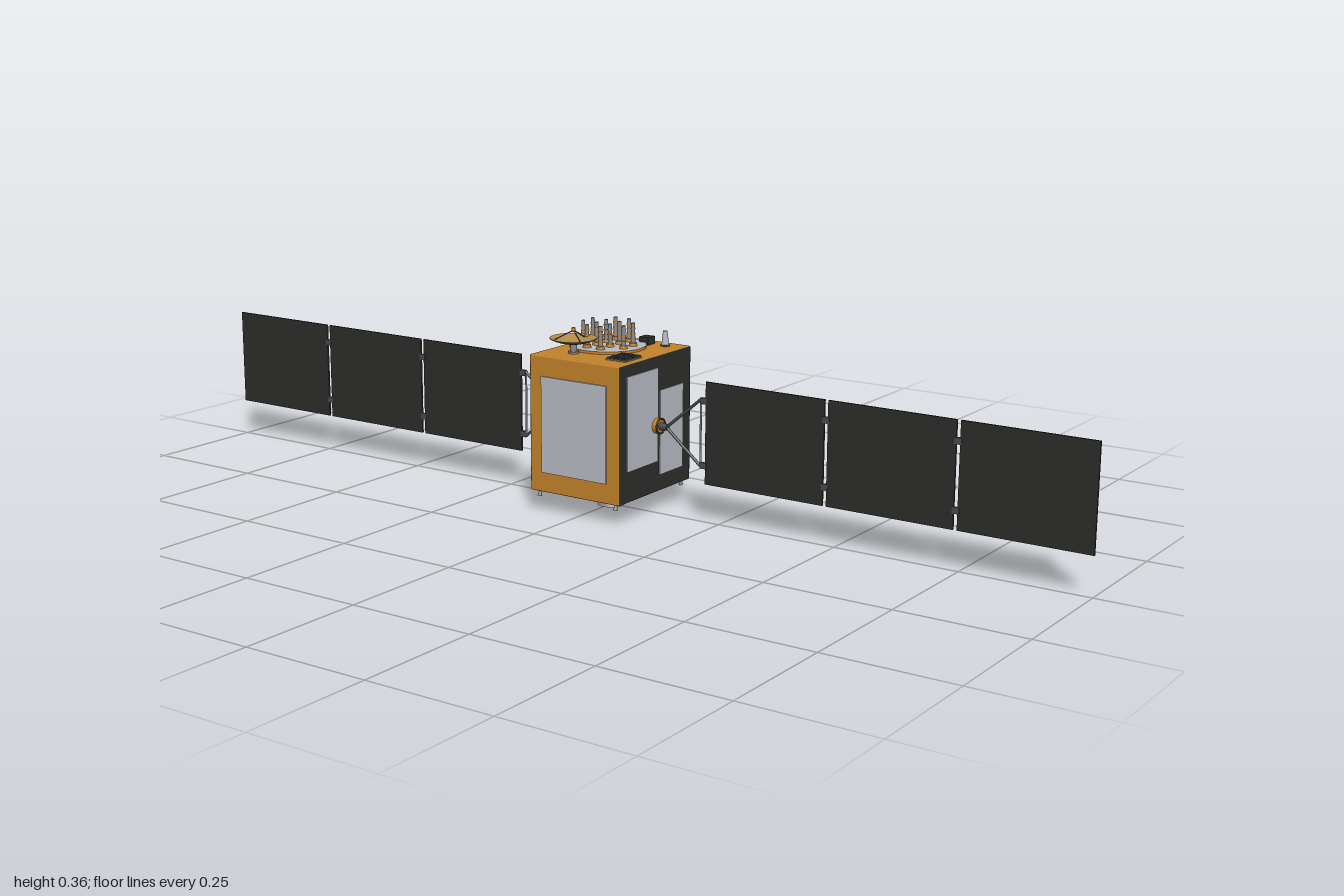
import * as THREE from 'three';
import { RoundedBoxGeometry } from 'three/addons/geometries/RoundedBoxGeometry.js';

const mat = (name, color, side = THREE.FrontSide) => {
  const m = new THREE.MeshStandardMaterial({ color, side });
  m.name = name;
  return m;
};

export function createModel() {
  const black = mat('black', 0x2b2b2a);
  const gold = mat('gold foil', 0xc0812a);
  const light = mat('light radiator', 0xb4b7c0);
  const metal = mat('metal', 0x85858b, THREE.DoubleSide);
  const dark = mat('dark metal', 0x48484c, THREE.DoubleSide);
  const dishGold = mat('dish gold', 0xb08a45, THREE.DoubleSide);

  const model = new THREE.Group();
  model.name = 'satellite';

  const add = (name, geo, material, x = 0, y = 0, z = 0, parent = model) => {
    const m = new THREE.Mesh(geo, material);
    m.name = name;
    m.position.set(x, y, z);
    parent.add(m);
    return m;
  };
  const box = (name, material, w, h, d, x, y, z, parent) =>
    add(name, new THREE.BoxGeometry(w, h, d), material, x, y, z, parent);
  const cyl = (name, material, rTop, rBottom, h, x, y, z, parent, open = false) =>
    add(name, new THREE.CylinderGeometry(rTop, rBottom, h, 24, 1, open), material, x, y, z, parent);
  // Straight rod between two points
  const rod = (name, material, a, b, r, parent) => {
    const p = new THREE.Vector3(...a), q = new THREE.Vector3(...b);
    const m = add(name, new THREE.CylinderGeometry(r, r, p.distanceTo(q), 8), material, 0, 0, 0, parent);
    m.position.copy(p).add(q).multiplyScalar(0.5);
    m.quaternion.setFromUnitVectors(new THREE.Vector3(0, 1, 0), q.sub(p).normalize());
    return m;
  };

  // Main body: gold sides, top and bottom, black front and back
  add('body', new RoundedBoxGeometry(0.245, 0.27, 0.21, 1, 0.003),
    [gold, gold, gold, gold, black, black], 0, 0.175, 0);

  for (const s of [-1, 1]) {
    // Radiator plates
    box('sideRadiator', light, 0.004, 0.19, 0.152, s * 0.1235, 0.175, 0);
    box('tallRadiator', light, 0.104, 0.185, 0.003, -0.046, 0.194, s * 0.1055);
    box('shortRadiator', light, 0.08, 0.168, 0.003, 0.053, 0.157, s * 0.1055);

    // Corner thrusters
    for (const t of [-1, 1]) {
      const thruster = cyl('thruster', metal, 0.002, 0.0045, 0.012, s * 0.112, 0.034, t * 0.09);
      thruster.rotation.z = s * 0.25;
    }

    // Solar wing, built along +z and turned for the other side
    const wing = new THREE.Group();
    wing.name = 'solarWing';
    wing.rotation.y = s > 0 ? 0 : Math.PI;
    model.add(wing);
    const y0 = 0.174;
    cyl('driveHub', gold, 0.015, 0.015, 0.012, 0, y0, 0.111, wing).rotation.x = Math.PI / 2;
    add('hubRing', new THREE.TorusGeometry(0.0145, 0.002, 8, 28), black, 0, y0, 0.117, wing);
    cyl('driveShaft', dark, 0.006, 0.008, 0.018, 0, y0, 0.124, wing).rotation.x = Math.PI / 2;
    for (const t of [-1, 1]) {
      rod('yokeArm', dark, [0, y0, 0.13], [0, y0 + t * 0.066, 0.209], 0.003, wing);
      box('yokeHinge', dark, 0.006, 0.012, 0.014, 0, y0 + t * 0.063, 0.215, wing);
    }
    rod('yokeBar', metal, [0, y0 - 0.066, 0.208], [0, y0 + 0.066, 0.208], 0.002, wing);
    for (let i = 0; i < 3; i++) {
      const z = 0.347 + i * 0.2625;
      box('solarPanel', black, 0.004, 0.2, 0.255, 0, 0.175, z, wing);
      if (i < 2) for (const t of [-1, 1])
        box('panelHinge', dark, 0.006, 0.012, 0.014, 0, y0 + t * 0.063, z + 0.131, wing);
    }
  }

  // Antenna farm: round plate with a 4 x 4 grid without corners
  add('antennaPlate', new THREE.CylinderGeometry(0.075, 0.075, 0.005, 48),
    [gold, light, gold], 0.02, 0.3125, -0.021);
  for (let i = 0; i < 4; i++) for (let j = 0; j < 4; j++) {
    if ((i === 0 || i === 3) && (j === 0 || j === 3)) continue;
    const antenna = new THREE.Group();
    antenna.name = 'helixAntenna';
    antenna.position.set(0.02 + (i - 1.5) * 0.032, 0.315, -0.021 + (j - 1.5) * 0.032);
    model.add(antenna);
    cyl('antennaBase', gold, 0.0075, 0.0085, 0.006, 0, 0.003, 0, antenna);
    cyl('antennaRod', metal, 0.0036, 0.0046, 0.04, 0, 0.025, 0, antenna);
    for (let k = 0; k < 3; k++)
      cyl('antennaBand', gold, 0.0049, 0.0049, 0.002, 0, 0.014 + k * 0.01, 0, antenna);
  }

  // Dish with tripod feed
  const dish = new THREE.Group();
  dish.name = 'dishAntenna';
  dish.position.set(-0.068, 0.31, -0.04);
  model.add(dish);
  cyl('dishFoot', metal, 0.011, 0.011, 0.004, 0, 0.002, 0, dish);
  cyl('dishPost', metal, 0.007, 0.007, 0.016, 0, 0.01, 0, dish);
  const bowl = lift => Array.from({ length: 9 }, (_, i) =>
    new THREE.Vector2(0.046 * i / 8, 0.018 + lift + 0.011 * (i / 8) ** 2));
  add('dishBack', new THREE.LatheGeometry(bowl(0), 40), dark, 0, 0, 0, dish);
  add('dishFace', new THREE.LatheGeometry(bowl(0.0015), 40), dishGold, 0, 0, 0, dish);
  for (let i = 0; i < 3; i++) {
    const a = i * Math.PI * 2 / 3;
    rod('feedStrut', dark, [0.036 * Math.cos(a), 0.026, 0.036 * Math.sin(a)], [0, 0.045, 0], 0.0013, dish);
  }
  cyl('dishFeed', gold, 0.004, 0.004, 0.008, 0, 0.046, 0, dish);

  // Patch array of small blocks
  box('patchBase', metal, 0.056, 0.002, 0.046, -0.054, 0.311, 0.068);
  for (let i = 0; i < 6; i++) for (let j = 0; j < 5; j++)
    box('patchBlock', dark, 0.007, 0.004, 0.007, -0.054 + (i - 2.5) * 0.0092, 0.313, 0.068 + (j - 2) * 0.009);

  // Sensor box and horn
  box('sensorBox', black, 0.024, 0.015, 0.022, 0.087, 0.3175, 0.025);
  cyl('hornBase', dark, 0.009, 0.009, 0.003, 0.09, 0.3115, 0.066);
  cyl('horn', light, 0.0045, 0.0075, 0.028, 0.09, 0.326, 0.066);

  // Launch ring and main engine
  cyl('ringCollar', gold, 0.068, 0.068, 0.005, 0, 0.038, 0);
  const ring = [[0.06, 0.036], [0.06, 0.027], [0.069, 0.027], [0.069, 0.037]];
  ring.slice(0, -1).forEach((p, i) => add('launchRing', new THREE.LatheGeometry(
    [p, ring[i + 1]].map(q => new THREE.Vector2(...q)), 48), metal));
  cyl('ringFloor', dark, 0.061, 0.061, 0.003, 0, 0.0345, 0);
  cyl('engineNozzle', metal, 0.012, 0.027, 0.028, 0, 0.014, 0, model, true);
  cyl('engineThroat', dark, 0.012, 0.012, 0.01, 0, 0.031, 0);

  return model;
}
